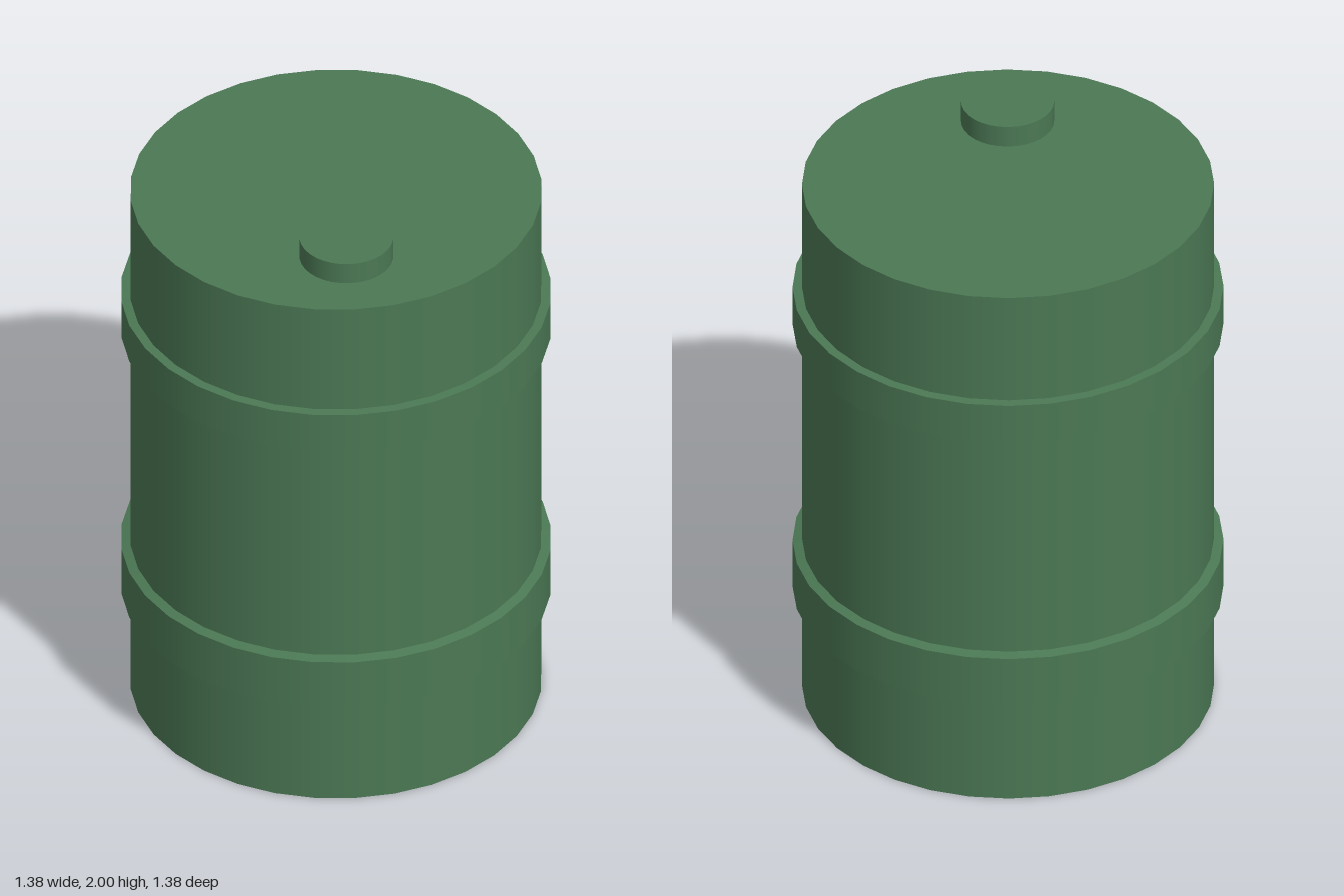
import * as THREE from 'three';
import { mergeGeometries } from 'three/addons/utils/BufferGeometryUtils.js';

const SIDES = 32;
const BODY_R = 0.66, BAND_R = 0.69;

// Open wall between a lower and an upper ring
function wall(r0, y0, r1, y1) {
  const g = new THREE.CylinderGeometry(r1, r0, y1 - y0, SIDES, 1, true);
  return g.translate(0, (y0 + y1) / 2, 0);
}

export function createModel() {
  const model = new THREE.Group();
  model.name = 'barrel';
  const green = new THREE.MeshStandardMaterial({ color: 0x4b7854 });
  green.name = 'drum green';

  const add = (name, geometry) => {
    const mesh = new THREE.Mesh(geometry, green);
    mesh.name = name;
    model.add(mesh);
  };

  // Drum body with closed ends
  add('body', new THREE.CylinderGeometry(BODY_R, BODY_R, 1.925, SIDES).translate(0, 0.9625, 0));

  // Raised hoop: lower lip, outer face, upper lip
  const hoop = (y0, y1, y2, y3) => mergeGeometries([
    wall(BODY_R, y0, BAND_R, y1),
    wall(BAND_R, y1, BAND_R, y2),
    wall(BAND_R, y2, BODY_R, y3),
  ]);
  add('lowerHoop', hoop(0.378, 0.38, 0.556, 0.565));
  add('upperHoop', hoop(1.38, 1.389, 1.53, 1.532));

  // Filler cap near the front of the lid
  add('fillerCap', new THREE.CylinderGeometry(0.15, 0.15, 0.075, SIDES).translate(0, 1.9625, 0.365));

  return model;
}
